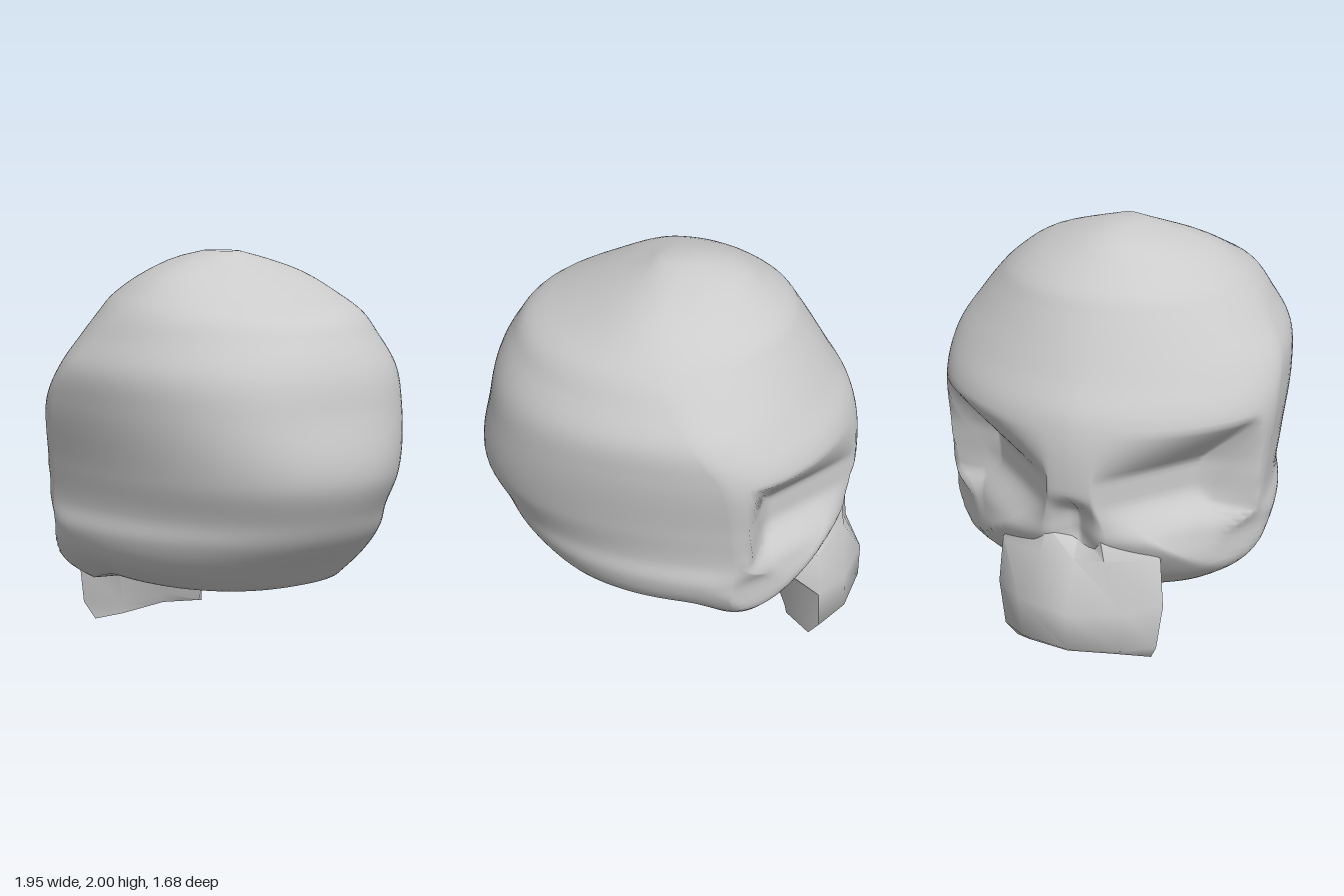
import * as THREE from 'three';
import { toCreasedNormals } from 'three/addons/utils/BufferGeometryUtils.js';

const material = new THREE.MeshStandardMaterial({ color: 0xcccccc });
const { clamp, lerp, smoothstep } = THREE.MathUtils;

// Skin closed rings (listed bottom to top) and close both ends with fans
function loft(rings) {
  const n = rings[0].length, pos = rings.flat(2), index = [];
  for (let i = 0; i < rings.length - 1; i++) {
    for (let j = 0; j < n; j++) {
      const a = i * n + j, b = i * n + (j + 1) % n;
      index.push(a, b, a + n, b, b + n, a + n);
    }
  }
  [0, rings.length - 1].forEach((r, top) => {
    const c = pos.length / 3;
    for (let k = 0; k < 3; k++) pos.push(rings[r].reduce((s, p) => s + p[k], 0) / n);
    for (let j = 0; j < n; j++) {
      const a = r * n + j, b = r * n + (j + 1) % n;
      index.push(...(top ? [c, a, b] : [c, b, a]));
    }
  });
  const g = new THREE.BufferGeometry();
  g.setAttribute('position', new THREE.Float32BufferAttribute(pos, 3));
  g.setIndex(index);
  g.computeVertexNormals();
  return g;
}

// Cranium sections: y, front x, x of the widest point, back x, half width,
// roundness of the front and of the back (2 is an ellipse)
const SECTIONS = [
  [0.40, -0.62, -0.25, 0.60, 0.60, 2.0, 2.4],
  [0.50, -0.74, -0.30, 0.69, 0.75, 1.9, 2.3],
  [0.65, -0.87, -0.35, 0.83, 0.82, 1.8, 2.2],
  [0.76, -0.89, -0.35, 0.89, 0.80, 1.8, 2.2],
  [0.95, -0.92, -0.33, 0.97, 0.81, 1.75, 2.3],
  [1.28, -0.88, -0.28, 0.92, 0.84, 1.7, 2.4],
  [1.45, -0.78, -0.15, 0.88, 0.82, 1.75, 2.25],
  [1.60, -0.69, -0.05, 0.80, 0.73, 1.85, 2.1],
  [1.71, -0.62, 0.02, 0.71, 0.65, 1.95, 2.0],
  [1.78, -0.57, 0.02, 0.56, 0.58, 2.0, 2.0],
  [1.90, -0.41, 0.02, 0.29, 0.40, 2.0, 2.0],
  [1.97, -0.29, -0.02, 0.13, 0.20, 2.0, 2.0],
  [2.00, -0.15, -0.04, 0.07, 0.08, 2.0, 2.0],
];

// Carve the eye sockets, cheeks and nose opening, and drop the cheek bottoms
function carve([x, y, z]) {
  const side = Math.sign(z);
  let w = Math.abs(z);
  // Cheek hollow running down to the jaw
  const cheek = Math.min(w, 0.42 + 0.9 * Math.max(0, x + 0.77));
  w = lerp(w, cheek, 1 - smoothstep(y, 0.6, 0.8));
  // Socket: sharp brow, sloping roof, outer rim that leans forward low down
  const rim = 0.45 + 0.12 * clamp((0.75 - y) / 0.15, 0, 1);
  const depth = clamp((1.23 - y) / 0.24, 0, 1) * smoothstep(y, 0.56, 0.86);
  const floor = 0.11 + 0.44 * Math.max(0, (x + 0.9) / 0.45);
  w = lerp(w, Math.min(w, floor), depth * smoothstep(-x, rim - 0.02, rim + 0.03));
  if (x < -0.6 && w < 0.12) {
    x += 0.1 * smoothstep(y, 0.55, 0.68) * (1 - smoothstep(y, 0.78, 0.92)) * (1 - w / 0.12);
  }
  y -= 0.08 * smoothstep(-x, 0.1, 0.45) * (1 - smoothstep(y, 0.4, 0.65));
  return [x, y, side * w];
}

function craniumRing(y, [front, mid, back, half, frontRound, backRound]) {
  const ring = [], count = 120;
  for (let j = 0; j < count; j++) {
    const t = (j / count) * Math.PI * 2;
    const c = -Math.cos(t), s = Math.sin(t);
    const e = 2 / (c < 0 ? frontRound : backRound);
    const x = mid + ((c < 0 ? front : back) - mid) * Math.pow(Math.abs(c), e);
    ring.push(carve([x, y, Math.sign(s) * half * Math.pow(Math.abs(s), e)]));
  }
  return ring;
}

function craniumGeometry() {
  const heights = SECTIONS.map((row) => row[0]);
  const curve = new THREE.CubicInterpolant(heights, SECTIONS.flatMap((row) => row.slice(1)), 6);
  const rings = [], count = 64;
  for (let i = 0; i <= count; i++) {
    const y = lerp(0.4, 2, i / count);
    rings.push(craniumRing(y, curve.evaluate(y)));
  }
  return loft(rings);
}

// Upper jaw: half rings from front to back, mirrored across the middle
function jawGeometry() {
  const halves = [
    [[-0.96, 0.11, 0], [-0.89, 0.09, 0.22], [-0.73, 0, 0.35], [-0.61, 0.04, 0.25], [-0.59, 0.07, 0]],
    [[-0.98, 0.13, 0], [-0.91, 0.12, 0.25], [-0.78, 0.09, 0.39], [-0.60, 0.10, 0.26], [-0.56, 0.12, 0]],
    [[-0.98, 0.32, 0], [-0.90, 0.32, 0.27], [-0.77, 0.32, 0.42], [-0.59, 0.33, 0.28], [-0.44, 0.35, 0]],
    [[-0.86, 0.56, 0], [-0.88, 0.58, 0.16], [-0.75, 0.56, 0.40], [-0.50, 0.52, 0.40], [-0.40, 0.52, 0]],
    [[-0.76, 0.66, 0], [-0.86, 0.72, 0.13], [-0.70, 0.68, 0.32], [-0.45, 0.62, 0.35], [-0.40, 0.62, 0]],
  ];
  const rings = halves.map((h) =>
    [...h, ...h.slice(1, -1).reverse().map(([x, y, z]) => [x, y, -z])]);
  return toCreasedNormals(loft(rings), 0.9);
}

export function createModel() {
  const group = new THREE.Group();
  group.name = 'skull';
  const add = (name, geometry) => {
    const mesh = new THREE.Mesh(geometry, material);
    mesh.name = name;
    group.add(mesh);
  };
  add('cranium', craniumGeometry());
  add('upperJaw', jawGeometry());
  return group;
}
